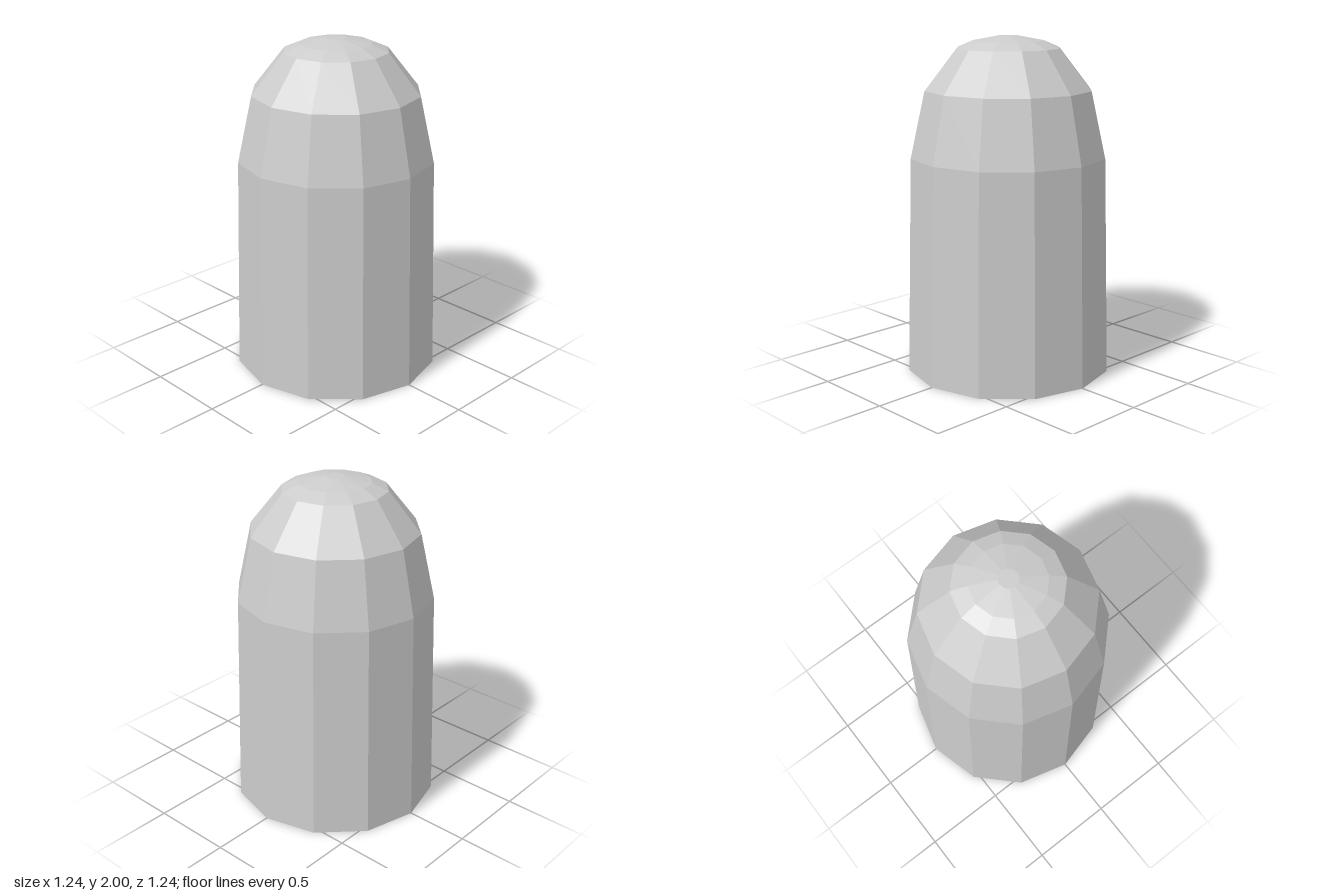
import * as THREE from 'three';

export function createModel() {
  const group = new THREE.Group();
  group.name = 'domedShell';

  const material = new THREE.MeshStandardMaterial({
    color: 0xcccccc,
    flatShading: true,
    side: THREE.DoubleSide,
  });

  // Profile as [radius, height]: tapered wall, rounded shoulder, small flat tip
  const profile = [
    [0.62, 0],
    [0.585, 1.3],
    [0.498, 1.69],
    [0.308, 1.93],
    [0.213, 1.97],
    [0.057, 2],
    [0, 2],
  ].map(([r, y]) => new THREE.Vector2(r, y));

  // Twelve-sided thin shell, open at the bottom
  const shell = new THREE.Mesh(new THREE.LatheGeometry(profile, 12), material);
  shell.name = 'shell';
  group.add(shell);

  return group;
}
